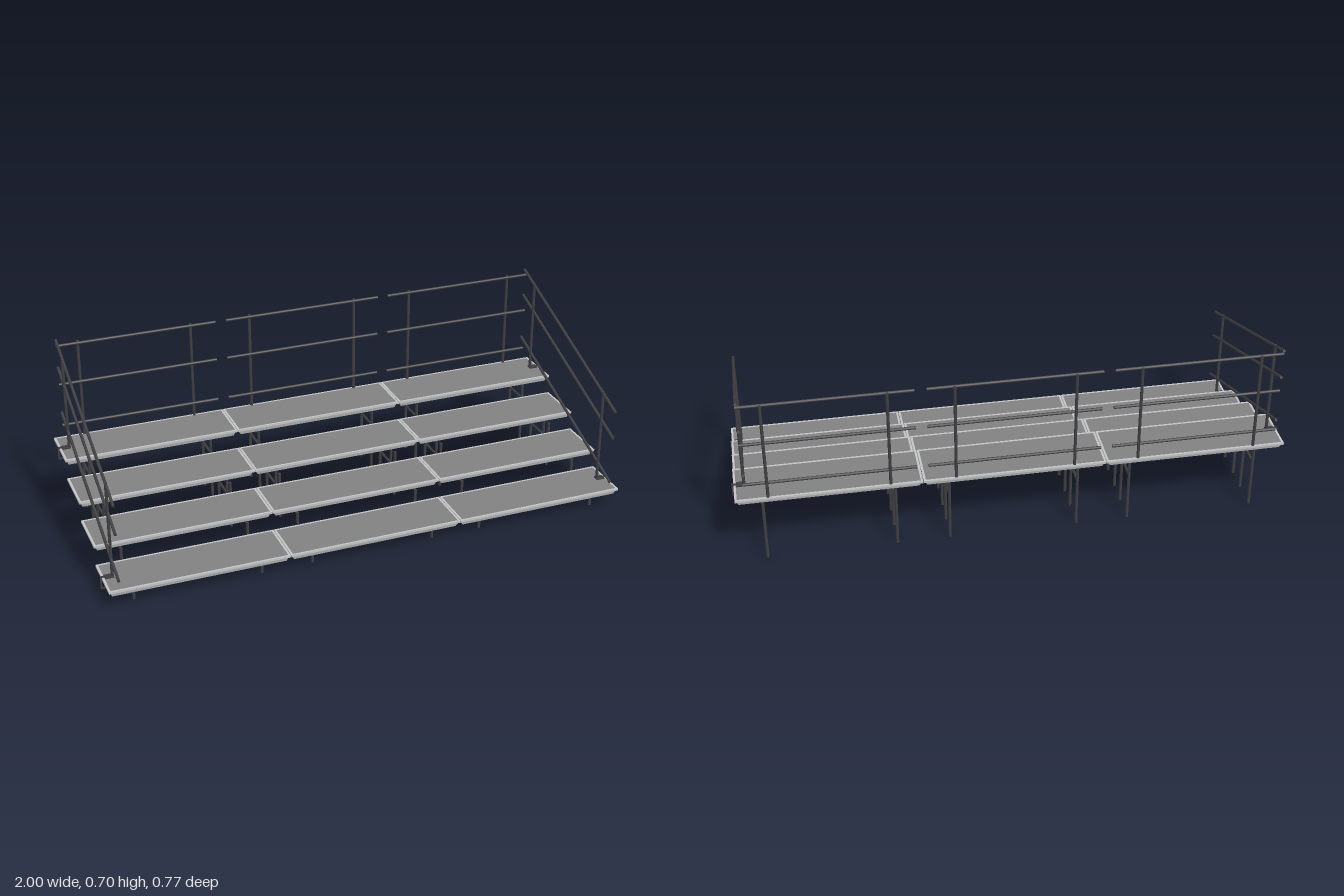
import * as THREE from 'three';

const mat = (name, color) => {
  const m = new THREE.MeshStandardMaterial({ color });
  m.name = name;
  return m;
};

export function createModel() {
  const model = new THREE.Group();
  model.name = 'bleachers';
  const deckGrey = mat('deck grey', 0x818181);
  const aluminium = mat('aluminium', 0xc2c3c4);
  const steel = mat('dark steel', 0x3f3f42);

  const R = 0.0055;
  const V = (x, y, z) => new THREE.Vector3(x, y, z);
  const add = (parent, name, geo, material) => {
    const mesh = new THREE.Mesh(geo, material);
    mesh.name = name;
    parent.add(mesh);
    return mesh;
  };
  const group = (name) => {
    const g = new THREE.Group();
    g.name = name;
    model.add(g);
    return g;
  };
  const box = (parent, name, w, h, d, x, y, z, material) =>
    add(parent, name, new THREE.BoxGeometry(w, h, d), material).position.set(x, y, z);

  // Round steel tube between two points
  const tube = (parent, name, a, b, r = R) => {
    const dir = b.clone().sub(a);
    const mesh = add(parent, name, new THREE.CylinderGeometry(r, r, dir.length(), 12), steel);
    mesh.position.copy(a).add(b).multiplyScalar(0.5);
    mesh.quaternion.setFromUnitVectors(V(0, 1, 0), dir.normalize());
  };

  // Mitred rectangular frame: an (inset, y) profile swept around the four corners
  const frameGeometry = (halfX, halfZ, profile) => {
    const corners = [[1, 1], [1, -1], [-1, -1], [-1, 1]];
    const pos = [];
    const point = (i, k) => {
      const [inset, y] = profile[i % profile.length];
      const [sx, sz] = corners[k % 4];
      return [sx * (halfX - inset), y, sz * (halfZ - inset)];
    };
    for (let i = 0; i < profile.length; i++) {
      for (let k = 0; k < 4; k++) {
        const a = point(i, k), d = point(i + 1, k), c = point(i + 1, k + 1), b = point(i, k + 1);
        pos.push(...a, ...d, ...c, ...a, ...c, ...b);
      }
    }
    const geo = new THREE.BufferGeometry();
    geo.setAttribute('position', new THREE.Float32BufferAttribute(pos, 3));
    geo.computeVertexNormals();
    return geo;
  };

  // Frame profile: overhanging lip above a tapered skirt, measured from the tread top
  const profile = [
    [0, 0], [0, -0.008], [0.006, -0.008], [0.013, -0.026],
    [0.022, -0.026], [0.02, -0.008], [0.008, -0.008], [0.008, 0],
  ];
  const halfZ = 0.0965;
  const bays = [-0.663, 0, 0.663];

  // Four steps: tread height, centre, leg positions, leg tops and brace height
  const tiers = [
    { top: 0.073, z: 0.291, legs: [[0.344, 0.06], [0.238, 0.06]], bars: [0.055] },
    { top: 0.147, z: 0.097, legs: [[0.19, 0.122], [-0.005, 0.186]], bars: [0.117] },
    { top: 0.22, z: -0.097, legs: [[-0.045, 0.207], [-0.15, 0.207]], bars: [0.202, 0.117] },
    { top: 0.294, z: -0.291, legs: [[-0.239, 0.281], [-0.344, 0.281]], bars: [0.276, 0.192] },
  ];
  tiers.forEach(({ top, z, legs, bars }, n) => {
    const tier = group(`tier${n + 1}`);
    for (const x of bays) {
      const halfX = 0.3305;
      add(tier, 'treadFrame', frameGeometry(halfX, halfZ, profile), aluminium).position.set(x, top, z);
      box(tier, 'treadPanel', 2 * halfX - 0.016, 0.007, 2 * halfZ - 0.016, x, top - 0.004, z, deckGrey);
      for (const dx of [-0.235, 0.235]) {
        for (const [lz, ly] of legs) tube(tier, 'leg', V(x + dx, 0, lz), V(x + dx, ly, lz));
        for (const y of bars) tube(tier, 'legBrace', V(x + dx, y, legs[0][0]), V(x + dx, y, legs[1][0]), 0.005);
      }
    }
  });

  // Sloping side rails with posts and clamp brackets
  for (const s of [-1, 1]) {
    const side = group(s > 0 ? 'leftRailing' : 'rightRailing');
    const x = s * 0.956;
    for (const y of [0.107, 0.291, 0.401]) {
      tube(side, 'sideRail', V(x, y, 0.383), V(x, y + 0.289, -0.382));
    }
    for (const [z, deck, top] of [[0.287, 0.073, 0.443], [-0.293, 0.294, 0.662]]) {
      tube(side, 'sidePost', V(x, deck, z), V(x, top, z));
      box(side, 'postFoot', 0.032, 0.004, 0.026, s * 0.968, deck + 0.002, z, steel);
      // C-shaped clamp gripping the tread edge
      box(side, 'clampTop', 0.03, 0.006, 0.004, s * 0.985, deck + 0.004, z, steel);
      box(side, 'clampSide', 0.006, 0.05, 0.004, s * 0.997, deck - 0.018, z, steel);
      box(side, 'clampBottom', 0.022, 0.006, 0.004, s * 0.989, deck - 0.041, z, steel);
    }
  }

  // Level back rails, one set for each bay
  const spans = [
    [-0.96, -0.352, [-0.877, -0.447]],
    [-0.31, 0.31, [-0.214, 0.214]],
    [0.352, 0.96, [0.447, 0.877]],
  ];
  const back = group('backRailing');
  for (const [x0, x1, posts] of spans) {
    for (const y of [0.349, 0.516, 0.671]) tube(back, 'backRail', V(x0, y, -0.371), V(x1, y, -0.371));
    for (const x of posts) tube(back, 'backPost', V(x, 0.29, -0.381), V(x, 0.676, -0.381));
  }

  return model;
}
